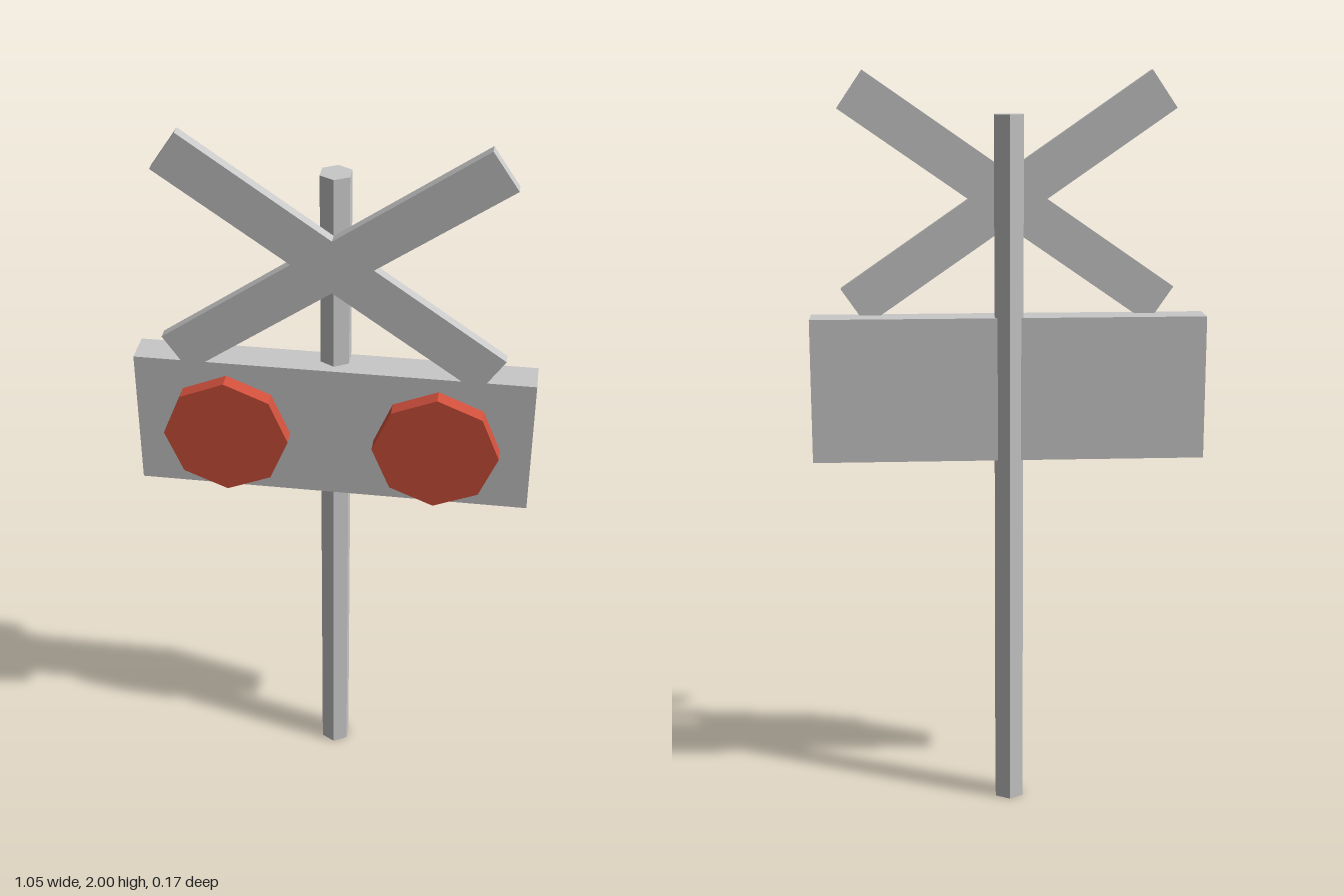
import * as THREE from 'three';

export function createModel() {
  const group = new THREE.Group();
  const grey = new THREE.MeshStandardMaterial({ color: 0xc8c8c8, flatShading: true });
  grey.name = 'light grey';
  const red = new THREE.MeshStandardMaterial({ color: 0xd0503c, flatShading: true });
  red.name = 'signal red';

  const add = (name, geometry, material, x, y, z) => {
    const mesh = new THREE.Mesh(geometry, material);
    mesh.name = name;
    mesh.position.set(x, y, z);
    group.add(mesh);
    return mesh;
  };

  // Octagonal disc facing +z, with a corner on the x axis
  const octagon = (radius, depth) =>
    new THREE.CylinderGeometry(radius, radius, depth, 8).rotateX(Math.PI / 2);

  // Hexagonal pole and the wide panel it carries
  add('pole', new THREE.CylinderGeometry(0.043, 0.043, 1.89, 6), grey, 0, 0.945, -0.042);
  add('panel', new THREE.BoxGeometry(1.05, 0.385, 0.092), grey, 0, 1.1725, -0.021);

  for (const side of [-1, 1]) {
    const label = side > 0 ? 'left' : 'right';

    // Crossed boards
    const board = add(label + 'CrossBoard', new THREE.BoxGeometry(0.996, 0.118, 0.031), grey, 0, 1.67, 0.0155);
    board.rotation.z = side * 0.603;

    // Signal lamp with a slightly smaller backing
    add(label + 'LampBacking', octagon(0.153, 0.02), red, side * 0.277, 1.17, 0.03);
    add(label + 'Lamp', octagon(0.166, 0.043), red, side * 0.277, 1.17, 0.0595);
  }
  return group;
}
